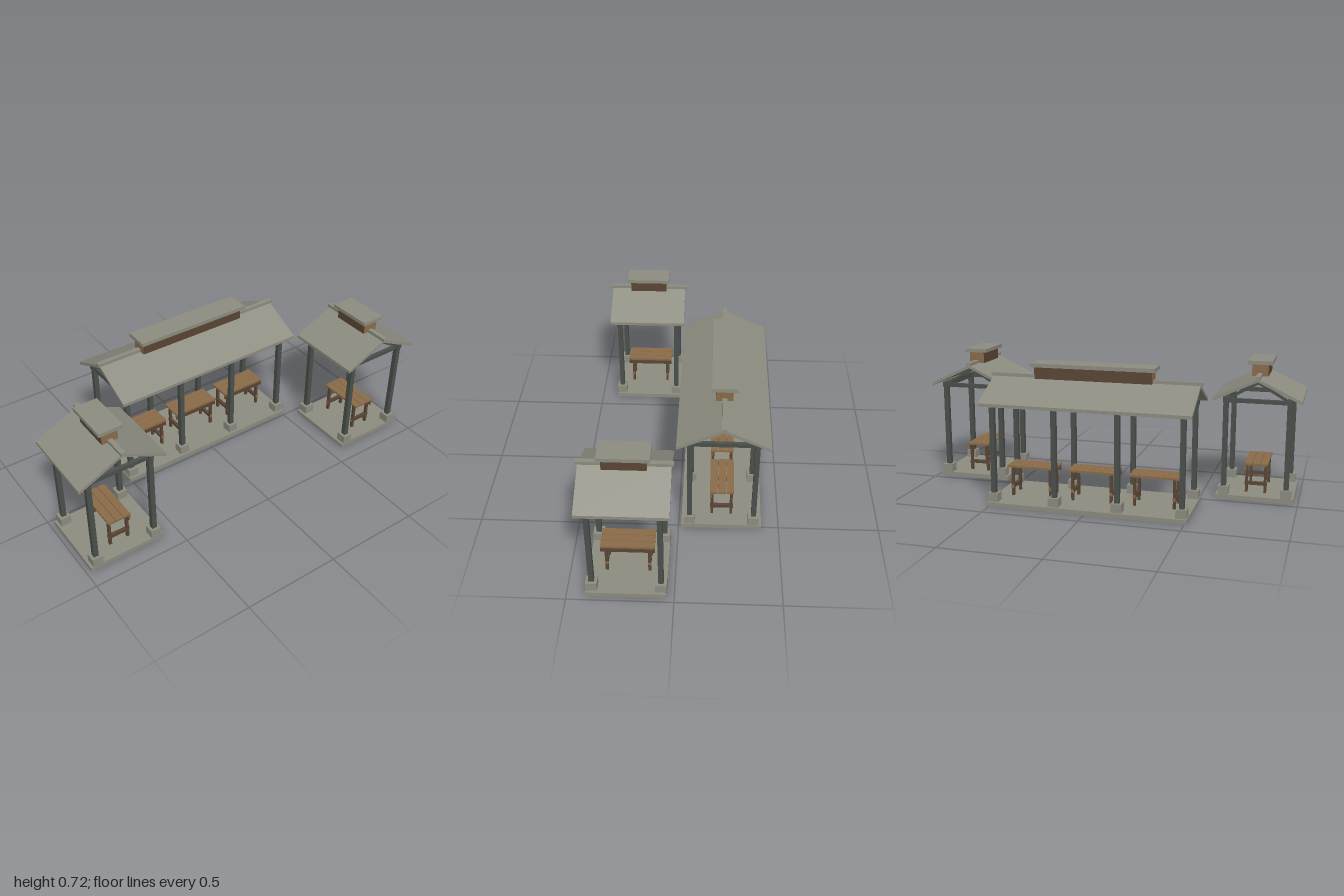
import * as THREE from 'three';

const mat = (name, color) => {
  const m = new THREE.MeshStandardMaterial({ color });
  m.name = name;
  return m;
};

export function createModel() {
  const stone = mat('stone grey', 0x8c8c80);
  const steel = mat('dark steel', 0x4a504c);
  const wood = mat('light wood', 0x8a6b49);
  const darkWood = mat('dark wood', 0x5a4634);
  // material sets for timbers with light end grain
  const grainX = [wood, wood, darkWood, darkWood, darkWood, darkWood];
  const grainZ = [darkWood, darkWood, darkWood, darkWood, wood, wood];

  // box centred on x and z, spanning y0 to y1
  function box(parent, name, material, w, y0, y1, d, x = 0, z = 0) {
    const mesh = new THREE.Mesh(new THREE.BoxGeometry(w, y1 - y0, d), material);
    mesh.position.set(x, (y0 + y1) / 2, z);
    mesh.name = name;
    parent.add(mesh);
    return mesh;
  }

  // outline in (z, y) extruded along x
  function prism(parent, name, material, points, length) {
    const shape = new THREE.Shape(points.map(([z, y]) => new THREE.Vector2(-z, y)));
    const geo = new THREE.ExtrudeGeometry(shape, { depth: length, bevelEnabled: false });
    geo.translate(0, 0, -length / 2);
    geo.rotateY(Math.PI / 2);
    const mesh = new THREE.Mesh(geo, material);
    mesh.name = name;
    parent.add(mesh);
    return mesh;
  }

  // table with its long side along x
  function table() {
    const g = new THREE.Group();
    g.name = 'table';
    for (let i = -1; i <= 1; i++) box(g, 'topPlank', wood, 0.254, 0.172, 0.183, 0.038, 0, i * 0.0405);
    for (const x of [-0.101, 0.101]) {
      for (const z of [-0.048, 0.048]) box(g, 'leg', darkWood, 0.014, 0.023, 0.172, 0.014, x, z);
      box(g, 'crossRail', grainZ, 0.016, 0.063, 0.08, 0.115, x);
    }
    box(g, 'apron', grainX, 0.254, 0.147, 0.168, 0.01, 0, 0.053);
    return g;
  }

  // open pavilion with its ridge along x
  function pavilion(name, half, postXs, tableXs) {
    const g = new THREE.Group();
    g.name = name;
    box(g, 'floorSlab', stone, half * 2, 0, 0.023, 0.4);

    // posts, footings and trusses
    for (const x of postXs) {
      for (const z of [-0.16, 0.16]) {
        box(g, 'footing', stone, 0.054, 0.023, 0.067, 0.054, x, z);
        box(g, 'post', steel, 0.025, 0.067, 0.508, 0.025, x, z);
      }
      box(g, 'tieBeam', steel, 0.018, 0.508, 0.529, 0.35, x);
      prism(g, 'trussRafters', steel, [
        [-0.165, 0.525], [0, 0.622], [0.165, 0.525], [0.14, 0.525], [0, 0.606], [-0.14, 0.525],
      ], 0.016).position.x = x;
    }
    const plateLength = (Math.max(...postXs) + 0.017) * 2;
    for (const z of [-0.161, 0.161]) box(g, 'wallPlate', steel, plateLength, 0.508, 0.535, 0.027, 0, z);

    // gable roof and ridge cap
    const roofHalf = half + 0.019;
    prism(g, 'roof', stone, [
      [-0.223, 0.535], [0, 0.64], [0.223, 0.535], [0.223, 0.519], [0, 0.624], [-0.223, 0.519],
    ], roofHalf * 2);
    box(g, 'ridgeCap', stone, roofHalf * 2 + 0.02, 0.637, 0.653, 0.024);

    // ridge vent
    const ventHalf = half === 0.513 ? 0.3 : 0.1;
    box(g, 'ventBox', grainX, ventHalf * 2, 0.637, 0.698, 0.083);
    box(g, 'ventLid', stone, ventHalf * 2 + 0.034, 0.698, 0.717, 0.124);

    for (const x of tableXs) {
      const t = table();
      t.position.x = x;
      g.add(t);
    }
    return g;
  }

  const model = new THREE.Group();
  model.name = 'picnicShelters';

  const long = pavilion('longPavilion', 0.513, [-0.482, -0.161, 0.161, 0.482], [-0.322, 0, 0.322]);
  long.position.z = -0.2135;
  model.add(long);

  for (const side of [-1, 1]) {
    const small = pavilion(side > 0 ? 'leftPavilion' : 'rightPavilion', 0.188, [-0.161, 0.161], [0]);
    small.rotation.y = Math.PI / 2;
    small.position.set(side * 0.777, 0, 0.2225);
    model.add(small);
  }
  return model;
}
